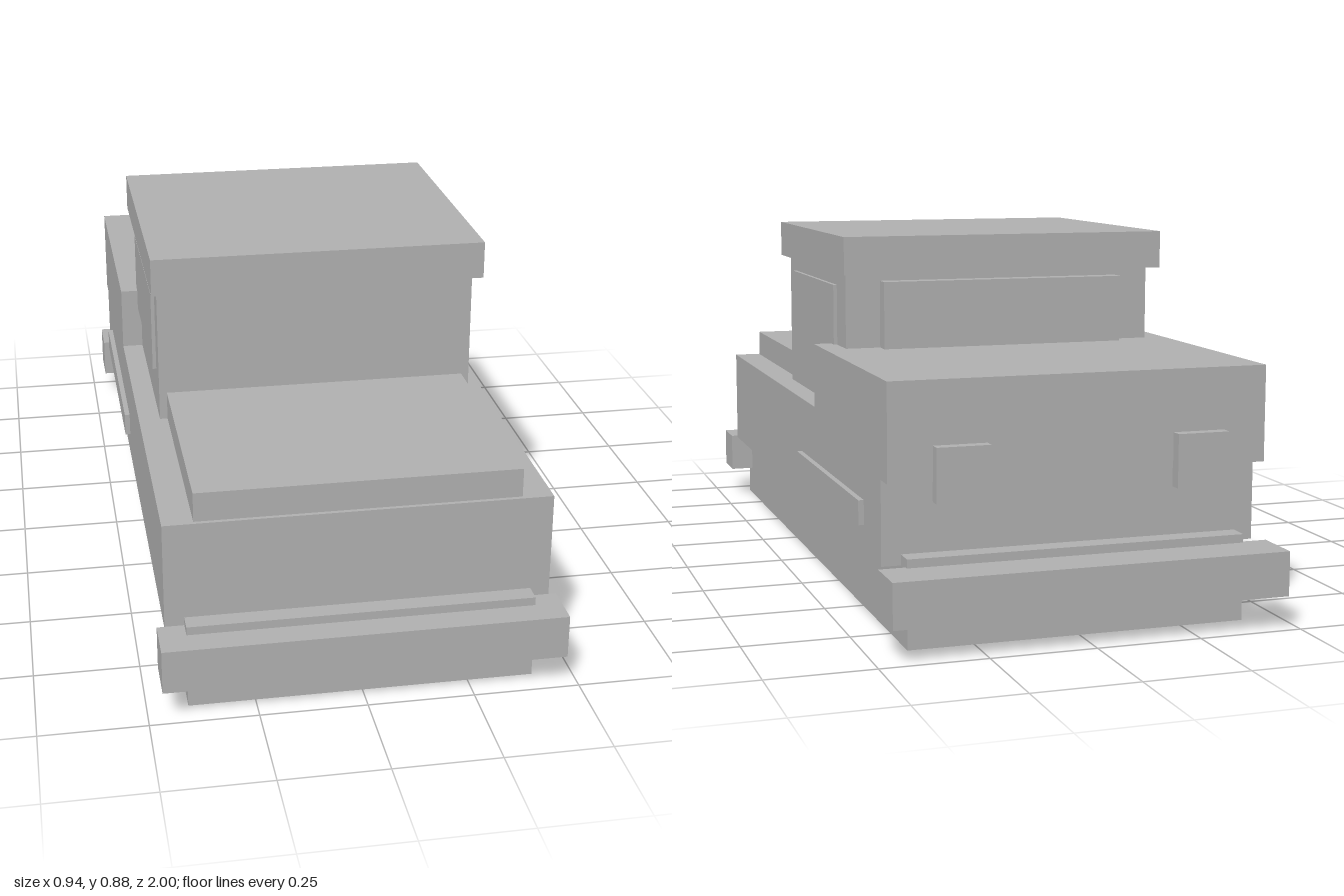
import * as THREE from 'three';

export function createModel() {
  const model = new THREE.Group();
  model.name = 'vehicle';
  const grey = new THREE.MeshStandardMaterial({ color: 0xb0b0b0 });
  grey.name = 'grey';

  // Box given by its extents on each axis
  function block(name, [x0, x1], [y0, y1], [z0, z1]) {
    const mesh = new THREE.Mesh(new THREE.BoxGeometry(x1 - x0, y1 - y0, z1 - z0), grey);
    mesh.position.set((x0 + x1) / 2, (y0 + y1) / 2, (z0 + z1) / 2);
    mesh.name = name;
    model.add(mesh);
  }
  const wide = (half) => [-half, half];

  // Lower hull
  block('chassis', wide(0.405), [0, 0.205], [-0.89, 0.935]);
  block('body', wide(0.45), [0.18, 0.44], [-0.84, 0.89]);
  block('frontBumper', wide(0.468), [0.08, 0.185], [0.89, 1]);
  block('rearBumper', wide(0.468), [0.08, 0.185], [-1, -0.88]);

  // Hood and raised, overhanging rear deck
  block('hood', wide(0.378), [0.44, 0.51], [0.31, 0.88]);
  block('rearDeck', wide(0.45), [0.375, 0.6], [-0.895, -0.2]);

  // Cab
  block('cab', wide(0.397), [0.44, 0.785], [-0.32, 0.31]);
  block('roof', wide(0.413), [0.785, 0.877], [-0.372, 0.358]);
  block('rearWindow', wide(0.31), [0.58, 0.765], [-0.36, -0.32]);

  // Paired details on both sides
  for (const [side, s] of [['left', 1], ['right', -1]]) {
    const span = (a, b) => (s > 0 ? [a, b] : [-b, -a]);
    block(side + 'Window', span(0.397, 0.406), [0.55, 0.75], [-0.23, 0.245]);
    block(side + 'SideTrim', span(0.45, 0.463), [0.242, 0.3], [-0.69, -0.045]);
    block(side + 'TailLight', span(0.222, 0.347), [0.33, 0.455], [-0.923, -0.893]);
  }
  return model;
}
